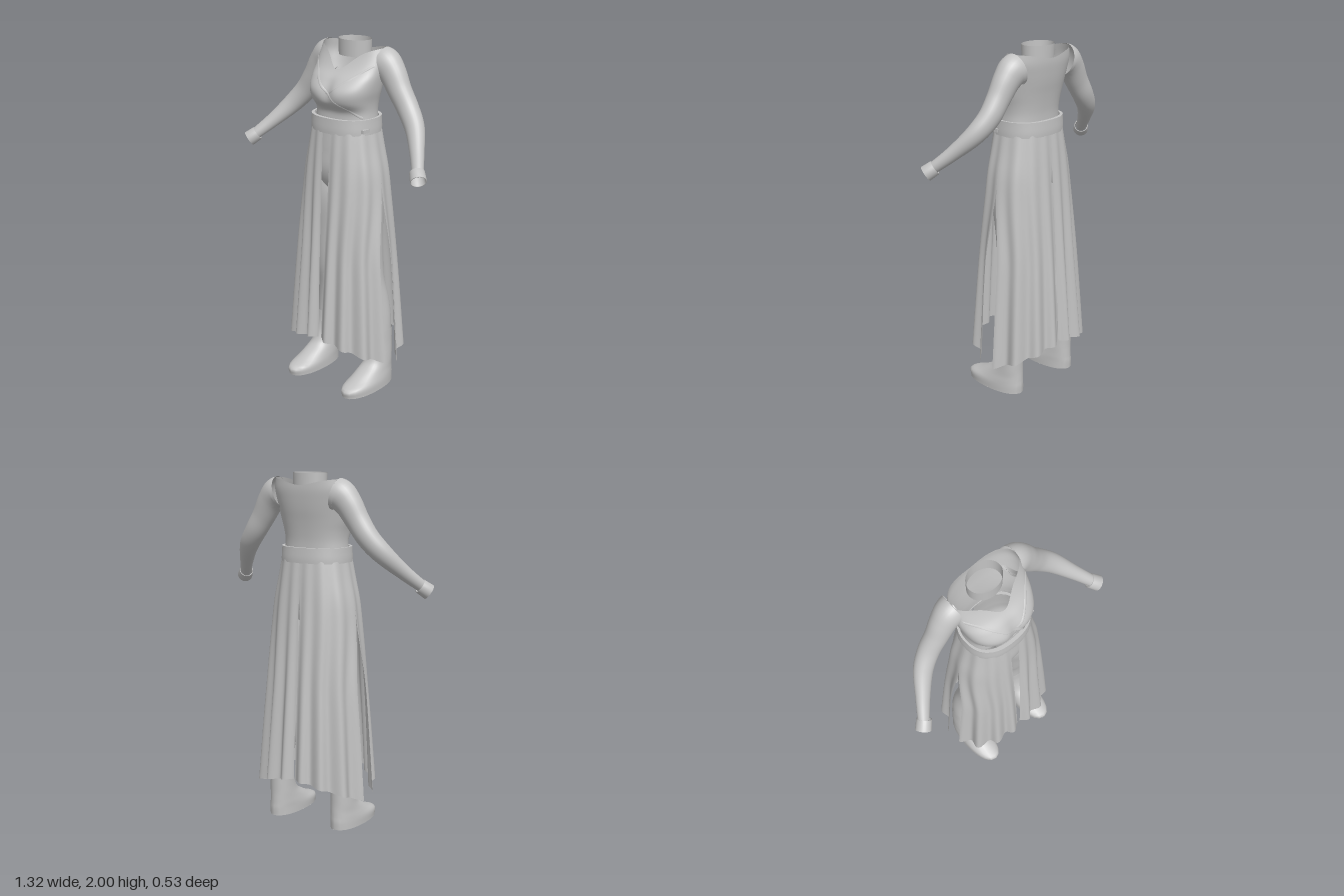
import * as THREE from 'three';
import { mergeVertices } from 'three/addons/utils/BufferGeometryUtils.js';

const cloth = new THREE.MeshStandardMaterial({ color: 0xc2c2c2, side: THREE.DoubleSide });
cloth.name = 'plain grey cloth';

// Smooth surface from a rule f(u, v) -> [x, y, z]
function surface(name, nu, nv, f) {
  const pos = [], index = [];
  for (let j = 0; j <= nv; j++)
    for (let i = 0; i <= nu; i++) pos.push(...f(i / nu, j / nv));
  for (let j = 0; j < nv; j++)
    for (let i = 0; i < nu; i++) {
      const a = j * (nu + 1) + i, b = a + nu + 1;
      index.push(a, a + 1, b + 1, a, b + 1, b);
    }
  let geo = new THREE.BufferGeometry();
  geo.setAttribute('position', new THREE.Float32BufferAttribute(pos, 3));
  geo.setIndex(index);
  geo = mergeVertices(geo, 1e-5);
  geo.computeVertexNormals();
  const mesh = new THREE.Mesh(geo, cloth);
  mesh.name = name;
  return mesh;
}

// Smooth lookup in rows [key, value, value...] with rising keys
function table(rows) {
  const size = rows[0].length - 1;
  const curve = new THREE.CubicInterpolant(rows.map(r => r[0]), rows.flatMap(r => r.slice(1)), size, new Array(size));
  return t => [...curve.evaluate(t)];
}

// Point of a superellipse in the direction of an angle measured from the front
function oval(a, w, d, n) {
  const s = Math.sin(a), c = Math.cos(a);
  const r = (Math.abs(s / w) ** n + Math.abs(c / d) ** n) ** (-1 / n);
  return [r * s, r * c];
}

// Stack of horizontal ovals; rows: [y, centre x, centre z, half width, half depth]
function stack(name, rows, n = 2, side = 1, nv = 32) {
  const at = table(rows), y0 = rows[0][0], y1 = rows[rows.length - 1][0];
  return surface(name, 40, nv, (u, v) => {
    const y = y0 + (y1 - y0) * v;
    const [cx, cz, w, d] = at(y);
    const [x, z] = oval((u % 1) * Math.PI * 2, w, d, n);
    return [side * (cx + x), y, cz + z];
  });
}

// Bodice shape by height: [y, half width, centre z, front depth, back depth]
const bodiceAt = table([
  [1.57, 0.187, 0, 0.118, 0.13], [1.63, 0.184, 0, 0.122, 0.132],
  [1.68, 0.19, 0, 0.166, 0.138], [1.74, 0.205, 0, 0.174, 0.148],
  [1.8, 0.215, -0.01, 0.142, 0.15], [1.85, 0.22, -0.03, 0.11, 0.138],
  [1.91, 0.222, -0.055, 0.095, 0.12], [1.97, 0.21, -0.07, 0.085, 0.105],
]);
// Dip between the two sides of the bust
const valley = (x, y) => 0.022 * Math.exp(-((x / 0.04) ** 2)) * Math.exp(-(((y - 1.74) / 0.06) ** 2));

function bodice() {
  return surface('bodice', 72, 36, (u, v) => {
    const a = (u % 1) * Math.PI * 2, c = Math.cos(a);
    const top = c > 0 ? 1.85 + 0.12 * Math.sin(a) ** 2 : 1.97 - 0.035 * c * c;
    const y = 1.57 + (top - 1.57) * v;
    const [w, cz, f, b] = bodiceAt(y);
    const [x, z] = oval(a, w, c > 0 ? f : b, 2.4);
    return [x, y, cz + z - (c > 0 ? valley(x, y) : 0)];
  });
}

// Thin crossover edge lying on the front of the bodice
function wrapEdge(name, from, to) {
  return surface(name, 2, 40, (u, v) => {
    const x = from[0] + (to[0] - from[0]) * v;
    const y = from[1] + (to[1] - from[1]) * v + (u - 0.5) * 0.016;
    const [w, cz, f] = bodiceAt(y);
    const k = Math.max(0, 1 - Math.abs(x / w) ** 2.4) ** (1 / 2.4);
    return [x, y, cz + f * k - valley(x, y) + (u === 0.5 ? 0.005 : 0.001)];
  });
}

// Pleated skirt quarter: front is +1 or -1, side is the model's left or right
const skirtAt = table([
  [0.19, 0.325, 0.257], [0.7, 0.293, 0.225], [1.15, 0.256, 0.192],
  [1.3, 0.24, 0.181], [1.42, 0.215, 0.172], [1.53, 0.194, 0.162],
]);
function skirtPanel(name, front, side) {
  return surface(name, 56, 30, (u, v) => {
    const hem = (front > 0 ? 0.31 : 0.29) - 0.12 * u ** 1.6;
    const y = 1.53 + (hem - 1.53) * v;
    const [w, d] = skirtAt(y);
    const slit = front > 0 ? 0.03 - 0.02 * v : 0.004;
    const open = 1 - THREE.MathUtils.smoothstep(y, 0.75, 1.25);
    const a0 = Math.atan2(slit, d), a1 = Math.atan2(w, (front > 0 ? 0.052 : 0.04) * open);
    const [x, z] = oval(a0 + (a1 - a0) * u, w, d, 2.5);
    const pleat = 1 - (0.012 + 0.055 * v) * Math.cos(u * Math.PI * 7);
    return [side * Math.max(slit, x * pleat), y, front * z * pleat];
  });
}

// Bent sleeve: path points and radii, rings square to the path
function sleeve(side) {
  const path = new THREE.CatmullRomCurve3([
    [0.185, 1.888, -0.085], [0.212, 1.88, -0.085], [0.255, 1.838, -0.083], [0.31, 1.752, -0.078],
    [0.375, 1.66, -0.072], [0.445, 1.578, -0.04], [0.53, 1.475, 0.045], [0.602, 1.392, 0.128],
  ].map(p => new THREE.Vector3(...p)));
  const radius = table([[0, 0.09], [0.143, 0.088], [0.286, 0.078], [0.43, 0.068], [0.57, 0.063], [0.71, 0.057], [0.857, 0.042], [1, 0.033]]);
  return surface('sleeve', 28, 40, (u, v) => {
    const p = path.getPoint(v), t = path.getTangent(v);
    const across = new THREE.Vector3(0, 0, 1).cross(t).normalize();
    const depth = t.clone().cross(across);
    const a = (u % 1) * Math.PI * 2, [r] = radius(v);
    p.addScaledVector(across, r * Math.cos(a)).addScaledVector(depth, r * Math.sin(a) * 0.9);
    return [side * p.x, p.y, p.z];
  });
}

function cuff(side) {
  const profile = [[0.036, -0.03], [0.041, -0.03], [0.044, 0.03], [0.039, 0.03], [0.036, -0.03]];
  const mesh = new THREE.Mesh(new THREE.LatheGeometry(profile.map(p => new THREE.Vector2(...p)), 28), cloth);
  mesh.name = 'cuff';
  mesh.position.set(side * 0.609, 1.381, 0.136);
  mesh.quaternion.setFromUnitVectors(new THREE.Vector3(0, 1, 0), new THREE.Vector3(side * 0.61, -0.56, 0.56).normalize());
  return mesh;
}

function boot(side) {
  const group = new THREE.Group();
  group.name = 'boot';
  group.add(stack('bootUpper', [
    [0, 0.212, 0.058, 0.083, 0.197], [0.045, 0.212, 0.056, 0.083, 0.196],
    [0.07, 0.211, 0.025, 0.079, 0.162], [0.1, 0.21, -0.005, 0.073, 0.13],
    [0.135, 0.21, -0.035, 0.068, 0.098], [0.18, 0.21, -0.05, 0.064, 0.083],
    [0.25, 0.209, -0.06, 0.06, 0.074], [0.34, 0.203, -0.065, 0.064, 0.07],
  ], 2.2, side, 36));
  group.add(surface('sole', 40, 1, (u, v) => {
    const [x, z] = oval((u % 1) * Math.PI * 2, 0.083 * v + 1e-4, 0.197 * v + 1e-4, 2.2);
    return [side * (0.212 + x), 0, 0.058 + z];
  }));
  return group;
}

export function createModel() {
  const model = new THREE.Group();
  model.name = 'dressOutfit';

  // Upper body
  const collar = new THREE.Mesh(new THREE.CylinderGeometry(0.1, 0.098, 0.09, 40, 1, true), cloth);
  collar.name = 'collar';
  collar.scale.z = 0.8;
  collar.position.set(0, 1.955, -0.07);
  model.add(collar, bodice());
  model.add(wrapEdge('upperWrapEdge', [-0.205, 1.885], [0.17, 1.6]));
  model.add(wrapEdge('underWrapEdge', [0.205, 1.885], [0.015, 1.735]));

  // Sash with turned edges and a small tie end
  model.add(stack('sash', [
    [1.51, 0, 0, 0.2, 0.166], [1.53, 0, 0, 0.2, 0.167], [1.575, 0, 0, 0.197, 0.165], [1.595, 0, 0, 0.196, 0.164],
  ], 2.4, 1, 6));
  for (const y of [1.51, 1.595])
    model.add(surface('sashRim', 40, 1, (u, v) => {
      const [x, z] = oval((u % 1) * Math.PI * 2, 0.197 - 0.012 * v, 0.165 - 0.02 * v, 2.4);
      return [x, y, z];
    }));
  const tie = new THREE.Mesh(new THREE.BoxGeometry(0.018, 0.02, 0.05), cloth);
  tie.name = 'sashTie';
  tie.position.set(0.193, 1.535, 0.065);
  model.add(tie);

  // Hips
  model.add(stack('hips', [
    [1.16, 0, 0, 0.13, 0.09], [1.2, 0, 0, 0.18, 0.12], [1.28, 0, 0, 0.215, 0.145],
    [1.4, 0, 0, 0.2, 0.14], [1.54, 0, 0, 0.175, 0.125],
  ], 2.2));

  for (const side of [1, -1]) {
    model.add(sleeve(side), cuff(side), boot(side));
    model.add(skirtPanel('frontSkirtPanel', 1, side), skirtPanel('backSkirtPanel', -1, side));
    model.add(stack('leg', [
      [0.3, 0.205, -0.065, 0.061, 0.066], [0.42, 0.193, -0.065, 0.068, 0.07],
      [0.52, 0.18, -0.055, 0.071, 0.073], [0.65, 0.163, -0.028, 0.073, 0.078],
      [0.9, 0.138, -0.012, 0.092, 0.1], [1.12, 0.12, 0, 0.11, 0.124], [1.28, 0.112, 0, 0.1, 0.125],
    ], 2, side));
  }
  return model;
}
